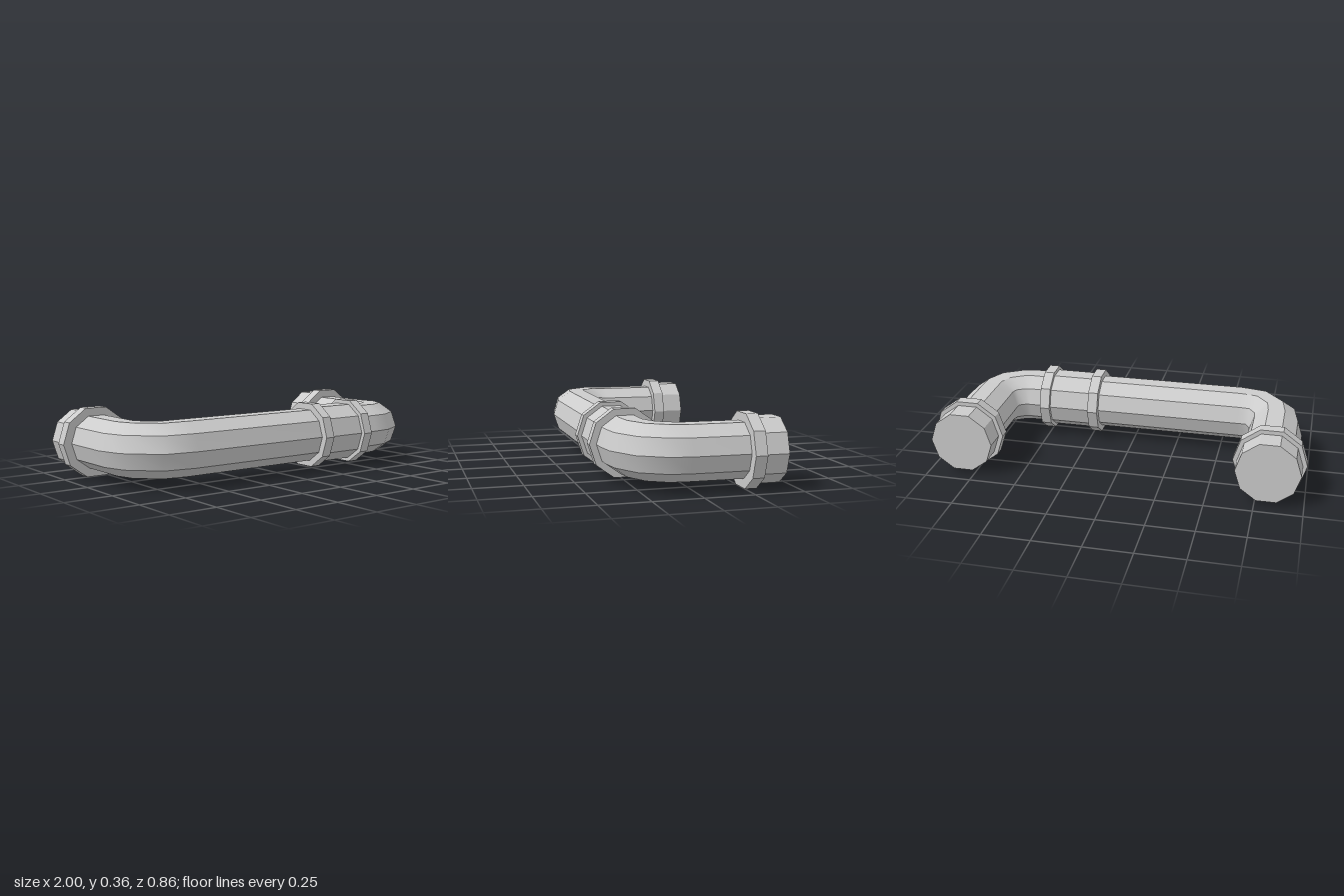
import * as THREE from 'three';

const SIDES = 10;
const LEG_X = 0.81, LEG_Y = 0.181; // axis of the two legs
const BAR_Z = 0.25, BAR_Y = 0.191; // axis of the long bar

// Ten-sided tube swept through rings [x, z, outward angle in degrees, y, radius].
// Every facet strip has its own vertices: smooth along the bends, sharp between sides.
function sweptPipe(rings) {
  const pos = [], index = [];
  for (let s = 0; s < SIDES; s++) {
    const base = pos.length / 3;
    for (const [x, z, deg, y, r] of rings) {
      const a = THREE.MathUtils.degToRad(deg);
      for (const k of [s, s + 1]) {
        const t = (k / SIDES) * Math.PI * 2;
        const out = r * Math.cos(t);
        pos.push(x + out * Math.cos(a), y + r * Math.sin(t), z + out * Math.sin(a));
      }
    }
    for (let i = 0; i < rings.length - 1; i++) {
      const p = base + i * 2;
      index.push(p, p + 2, p + 1, p + 1, p + 2, p + 3);
    }
  }
  const geo = new THREE.BufferGeometry();
  geo.setAttribute('position', new THREE.Float32BufferAttribute(pos, 3));
  geo.setIndex(index);
  geo.computeVertexNormals();
  return geo;
}

export function createModel() {
  const group = new THREE.Group();
  const smooth = new THREE.MeshStandardMaterial({ color: 0xcccccc, side: THREE.DoubleSide });
  const flat = new THREE.MeshStandardMaterial({ color: 0xcccccc, flatShading: true });

  function add(name, geo, mat) {
    const mesh = new THREE.Mesh(geo, mat);
    mesh.name = name;
    group.add(mesh);
    return mesh;
  }

  // Ten-sided ring around a leg, from z0 to z1
  function legRing(name, x, r, z0, z1) {
    const geo = new THREE.CylinderGeometry(r, r, z1 - z0, SIDES, 1, false, Math.PI / 2);
    add(name, geo.rotateX(Math.PI / 2), flat).position.set(x, LEG_Y, (z0 + z1) / 2);
  }

  // Ten-sided ring around the bar, from x0 to x1
  function barRing(name, r, x0, x1) {
    const geo = new THREE.CylinderGeometry(r, r, x1 - x0, SIDES);
    add(name, geo.rotateZ(Math.PI / 2), flat).position.set((x0 + x1) / 2, BAR_Y, BAR_Z);
  }

  // Bent pipe: right leg, tight elbow, bar, rounder elbow, left leg
  add('bentPipe', sweptPipe([
    [-LEG_X, -0.28, 180, 0.183, 0.144],
    [-LEG_X, 0.04, 180, 0.184, 0.144],
    [-0.795, 0.137, 154, 0.188, 0.144],
    [-0.712, 0.234, 118, 0.19, 0.144],
    [-0.6, BAR_Z, 90, BAR_Y, 0.145],
    [0.6, BAR_Z, 90, BAR_Y, 0.145],
    [0.671, 0.241, 70, 0.19, 0.144],
    [0.762, 0.19, 44, 0.188, 0.144],
    [0.803, 0.11, 16, 0.186, 0.144],
    [0.808, 0.03, 0, 0.184, 0.143],
    [0.808, -0.28, 0, 0.183, 0.143],
  ]), smooth);

  // Coupling on the bar: sleeve between two collars
  barRing('couplingSleeve', 0.158, 0.24, 0.485);
  barRing('couplingCollarInner', 0.18, 0.195, 0.25);
  barRing('couplingCollarOuter', 0.18, 0.475, 0.53);

  // Closed end fittings on both legs
  for (const [side, x] of [['right', -LEG_X], ['left', LEG_X]]) {
    legRing(side + 'EndCollar', x, 0.19, -0.31, -0.25);
    legRing(side + 'EndCap', x, 0.167, -0.43, -0.3);
  }
  return group;
}
